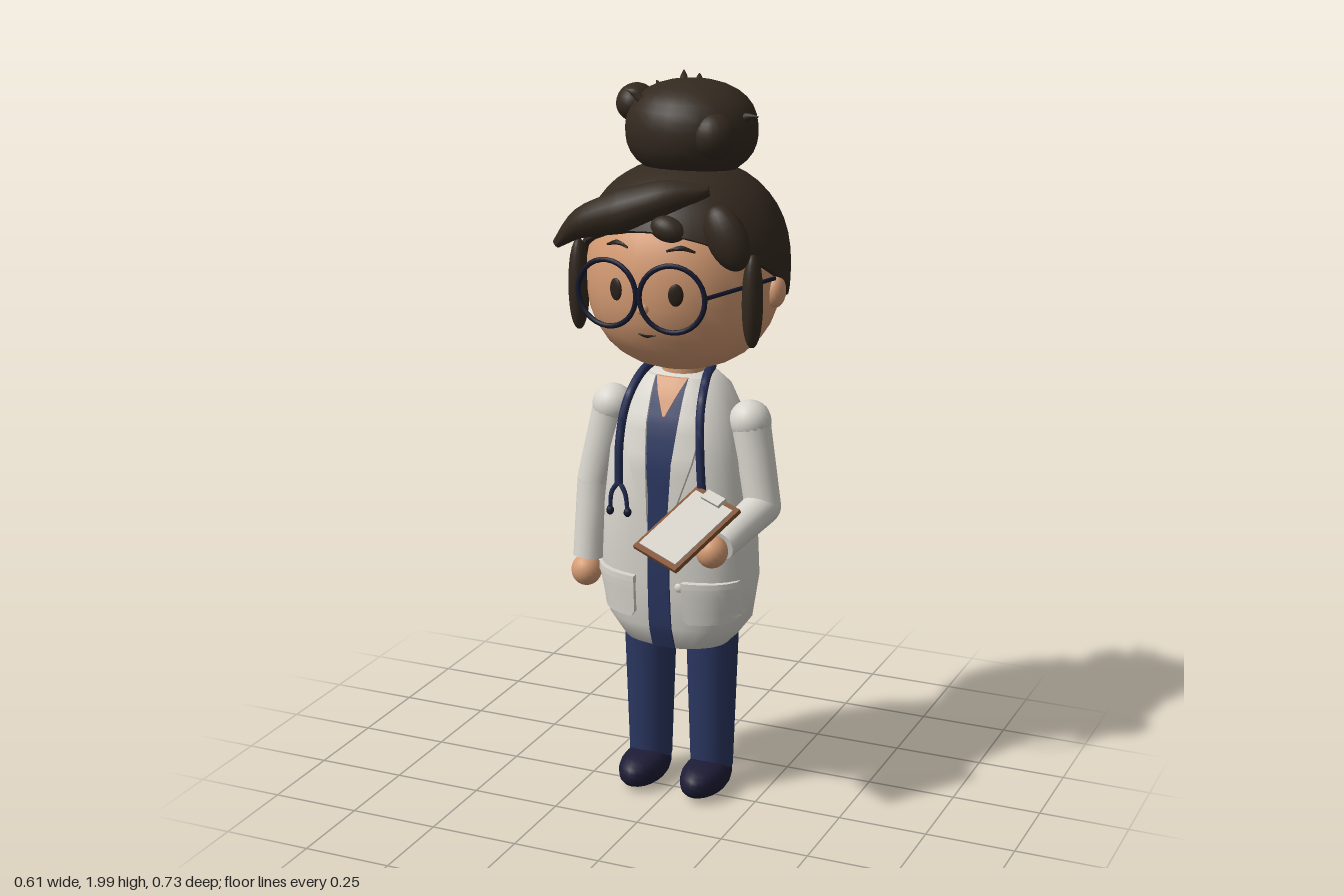
import * as THREE from 'three';
import { toCreasedNormals } from 'three/addons/utils/BufferGeometryUtils.js';

const mat = (name, color) => Object.assign(new THREE.MeshStandardMaterial({ color }), { name });
const V = (x, y, z) => new THREE.Vector3(x, y, z);
const lerp = THREE.MathUtils.lerp;

export function createModel() {
  const skin = mat('skin', 0xd69c74), hair = mat('hair', 0x33291f), coat = mat('coat', 0xd9d6ce);
  const navy = mat('navy cloth', 0x2a3660), shoe = mat('shoe', 0x1d1c36), frame = mat('glasses frame', 0x15182c);
  const wood = mat('clipboard brown', 0x80502f), paper = mat('paper', 0xcfcbc3);
  const tubeMat = mat('stethoscope tube', 0x232c52), dark = mat('eye', 0x2a2019);
  const model = new THREE.Group();
  model.name = 'doctor';

  const add = (name, geo, material, parent = model) => {
    const m = new THREE.Mesh(geo, material);
    m.name = name;
    parent.add(m);
    return m;
  };

  // Rounded blob: p = 2 is an ellipsoid, larger p is boxier from the side
  const blob = (name, m, c, r, p = 2, rot = [0, 0, 0], seg = 20) => {
    const g = new THREE.SphereGeometry(1, seg, Math.round(seg * 0.7));
    const a = g.attributes.position;
    for (let i = 0; i < a.count; i++) {
      const v = V(0, 0, 0).fromBufferAttribute(a, i);
      v.multiplyScalar((Math.abs(v.y) ** p + Math.hypot(v.x, v.z) ** p) ** (-1 / p));
      a.setXYZ(i, v.x * r[0], v.y * r[1], v.z * r[2]);
    }
    g.computeVertexNormals();
    const mesh = add(name, g, m);
    mesh.position.set(...c);
    mesh.rotation.set(...rot);
    return mesh;
  };

  // Closed skin over rings of equal length, capped at both ends, facing outward
  const loft = (rings, crease = 0.7) => {
    const n = rings[0].length, pts = rings.flat(), idx = [];
    for (let i = 0; i < rings.length - 1; i++) {
      for (let j = 0; j < n; j++) {
        const a = i * n + j, b = i * n + (j + 1) % n;
        idx.push(a, b, a + n, b, b + n, a + n);
      }
    }
    for (const [k, flip] of [[0, true], [rings.length - 1, false]]) {
      const c = rings[k].reduce((s, v) => s.add(v), V(0, 0, 0)).divideScalar(n);
      pts.push(c);
      for (let j = 0; j < n; j++) {
        const a = k * n + j, b = k * n + (j + 1) % n;
        idx.push(pts.length - 1, flip ? b : a, flip ? a : b);
      }
    }
    let vol = 0;
    for (let i = 0; i < idx.length; i += 3) {
      vol += pts[idx[i]].dot(V(0, 0, 0).crossVectors(pts[idx[i + 1]], pts[idx[i + 2]]));
    }
    if (vol < 0) idx.reverse();
    const g = new THREE.BufferGeometry().setFromPoints(pts);
    g.setIndex(idx);
    return toCreasedNormals(g, crease);
  };

  // Tapering strand along a curve
  const strand = (name, m, points, radii, steps = 12, sides = 10) => {
    const curve = new THREE.CatmullRomCurve3(points.map(p => V(...p)));
    const f = curve.computeFrenetFrames(steps);
    const rings = [];
    for (let i = 0; i <= steps; i++) {
      const t = i / steps * (radii.length - 1), k = Math.min(Math.floor(t), radii.length - 2);
      const r = lerp(radii[k], radii[k + 1], t - k), c = curve.getPointAt(i / steps);
      rings.push(Array.from({ length: sides }, (_, j) => {
        const a = j / sides * Math.PI * 2;
        return c.clone().addScaledVector(f.normals[i], Math.cos(a) * r).addScaledVector(f.binormals[i], Math.sin(a) * r);
      }));
    }
    return add(name, loft(rings, 1.2), m);
  };

  // Coat body: height, half width, front z, back z
  const rows = [[0.44, 0.1, 0.03, -0.17], [0.46, 0.155, 0.07, -0.185], [0.52, 0.2, 0.09, -0.2], [0.65, 0.222, 0.1, -0.2],
    [0.85, 0.212, 0.1, -0.2], [1, 0.195, 0.093, -0.2], [1.1, 0.17, 0.068, -0.19], [1.18, 0.13, 0.03, -0.17], [1.22, 0.085, 0, -0.14]];
  const N = 2.5, pow = v => Math.sign(v) * Math.abs(v) ** (2 / N);
  add('coat', loft(rows.map(([y, rx, f, b]) => Array.from({ length: 28 }, (_, j) => {
    const a = j / 28 * Math.PI * 2;
    return V(rx * pow(Math.cos(a)), y, (f + b) / 2 + (f - b) / 2 * pow(Math.sin(a)));
  })), 1), coat);
  const coatZ = (x, y) => {
    let k = 0;
    while (k < rows.length - 2 && y > rows[k + 1][0]) k++;
    const t = THREE.MathUtils.clamp((y - rows[k][0]) / (rows[k + 1][0] - rows[k][0]), 0, 1);
    const [, rx, f, b] = rows[k].map((v, i) => lerp(v, rows[k + 1][i], t));
    return (f + b) / 2 + (f - b) / 2 * Math.max(0, 1 - Math.abs(x / rx) ** N) ** (1 / N);
  };

  // Panel lying on the coat front; spans are [y, left x, right x]
  const panel = (name, m, spans, off, depth = 0.02) => {
    const rings = [];
    for (let i = 0; i < spans.length - 1; i++) {
      for (let s = i ? 1 : 0; s <= 5; s++) {
        const [y, l, r] = spans[i].map((v, k) => lerp(v, spans[i + 1][k], s / 5));
        const xs = Array.from({ length: 8 }, (_, j) => lerp(l, r, j / 7));
        const at = d => x => V(x, y, coatZ(x, y) + d);
        rings.push([...xs.map(at(off)), ...xs.reverse().map(at(off - depth))]);
      }
    }
    return add(name, loft(rings), m);
  };
  panel('shirt', navy, [[1.21, -0.06, 0.06], [1.1, -0.05, 0.05], [0.9, -0.03, 0.03], [0.55, -0.032, 0.032], [0.46, -0.03, 0.035]], 0.006);
  panel('neckline', skin, [[1.215, -0.045, 0.045], [1.12, -0.003, 0.003]], 0.01);
  for (const s of [1, -1]) {
    const sides = (y, a, b) => s > 0 ? [y, a, b] : [y, -b, -a];
    panel('lapel', coat, [sides(1.215, 0.048, 0.084), sides(1.1, 0.046, 0.11), sides(1, 0.038, 0.092), sides(0.83, 0.03, 0.036)], 0.014, 0.025);
    panel('pocket', coat, [sides(0.545, 0.085, 0.19), sides(0.56, 0.073, 0.205), sides(0.665, 0.072, 0.205)], 0.014, 0.025);
    panel('pocketHem', coat, [sides(0.645, 0.07, 0.207), sides(0.668, 0.07, 0.207)], 0.018, 0.03);
  }
  for (const y of [0.65, 0.75, 0.84]) blob('button', coat, [0.06, y, coatZ(0.06, y) + 0.004], [0.013, 0.013, 0.008], 2, [0, 0, 0], 10);

  // Legs and shoes
  for (const s of [1, -1]) {
    add('leg', new THREE.CylinderGeometry(0.074, 0.06, 0.42, 16), navy).position.set(s * 0.094, 0.28, -0.056);
    blob('shoe', shoe, [s * 0.094, 0.053, -0.015], [0.064, 0.049, 0.115], 2.5);
  }

  // Arms: right hangs down, left is bent to hold the clipboard
  const arm = (shoulder, elbow, wrist, hand) => {
    blob('shoulder', coat, shoulder, [0.058, 0.058, 0.058]);
    strand('upperSleeve', coat, [shoulder, elbow], [0.055, 0.05], 3, 16);
    blob('elbow', coat, elbow, [0.05, 0.05, 0.05]);
    strand('lowerSleeve', coat, [elbow, wrist], [0.05, 0.043], 3, 16);
    blob('hand', skin, hand, [0.043, 0.045, 0.043]);
  };
  arm([-0.203, 1.1, -0.05], [-0.255, 0.88, -0.04], [-0.264, 0.66, -0.01], [-0.266, 0.622, 0]);
  arm([0.203, 1.1, -0.05], [0.25, 0.87, -0.03], [0.205, 0.815, 0.165], [0.197, 0.808, 0.198]);

  // Clipboard
  const board = new THREE.Group();
  board.name = 'clipboard';
  const u = V(0.155, -0.02, 0.08).normalize(), n = V(0, 0, 0).crossVectors(u, V(0.115, 0.125, -0.175)).normalize();
  board.applyMatrix4(new THREE.Matrix4().makeBasis(u, V(0, 0, 0).crossVectors(n, u), n));
  board.position.set(0.14, 0.874, 0.233);
  model.add(board);
  add('backing', new THREE.BoxGeometry(0.176, 0.244, 0.012), wood, board);
  add('sheet', new THREE.BoxGeometry(0.152, 0.215, 0.006), paper, board).position.z = 0.007;
  add('clip', new THREE.BoxGeometry(0.07, 0.03, 0.014), paper, board).position.set(0, 0.108, 0.012);

  // Neck and stethoscope
  add('neck', new THREE.CylinderGeometry(0.058, 0.062, 0.14, 18), skin).position.set(0, 1.2, -0.07);
  strand('stethoscope', tubeMat, [[-0.115, 0.93, 0.108], [-0.115, 1.05, 0.1], [-0.108, 1.15, 0.068], [-0.092, 1.222, -0.01],
    [-0.07, 1.235, -0.1], [0, 1.235, -0.145], [0.07, 1.235, -0.1], [0.092, 1.222, -0.01], [0.108, 1.15, 0.068],
    [0.12, 1.05, 0.1], [0.13, 0.9, 0.105]], [0.012, 0.012], 60);
  for (const x of [-0.14, -0.088]) {
    strand('earTube', tubeMat, [[-0.114, 0.935, 0.108], [lerp(-0.114, x, 0.75), 0.905, 0.112], [x, 0.855, 0.11]], [0.007, 0.006], 8, 8);
    blob('earTip', frame, [x, 0.85, 0.11], [0.011, 0.013, 0.011], 2, [0, 0, 0], 10);
  }

  // Head and face
  const hc = [0, 1.488, -0.07], hr = [0.262, 0.256, 0.265], P = 2.3;
  blob('head', skin, hc, hr, P, [0, 0, 0], 26);
  const faceZ = (x, y) => {
    const h = (1 - Math.abs((y - hc[1]) / hr[1]) ** P) ** (1 / P);
    return hc[2] + hr[2] * Math.sqrt(h * h - (x / hr[0]) ** 2);
  };
  const onFace = (x, y, d) => [x, y, faceZ(x, y) + d];
  blob('nose', skin, onFace(0, 1.445, 0.004), [0.014, 0.014, 0.022], 2, [0, 0, 0], 12);
  strand('mouth', dark, [[-0.024, 1.373], [0, 1.368], [0.024, 1.373]].map(p => onFace(...p, 0)), [0.002, 0.004, 0.002], 8, 6);
  for (const s of [1, -1]) {
    blob('eye', dark, onFace(s * 0.085, 1.488, 0), [0.02, 0.03, 0.007], 2, [0, s * 0.33, 0]);
    strand('eyebrow', dark, [[s * 0.055, 1.6], [s * 0.09, 1.608], [s * 0.125, 1.597]].map(p => onFace(...p, 0.002)), [0.003, 0.007, 0.003], 8, 6);
    blob('ear', skin, [s * 0.262, 1.46, -0.075], [0.027, 0.045, 0.034]);
    // Glasses
    const ring = add('glassesRim', new THREE.TorusGeometry(0.088, 0.007, 8, 32), frame);
    ring.position.set(s * 0.092, 1.487, 0.222);
    ring.rotation.y = s * 0.12;
    strand('glassesTemple', frame, [[s * 0.18, 1.495, 0.212], [s * 0.268, 1.5, -0.05]], [0.006, 0.006], 2, 8);
    // Locks in front of the ears
    blob('sideLock', hair, [s * 0.25, 1.46, 0.06], [0.027, 0.125, 0.035], 2.2);
  }

  // Hair cap, cut by a plane that is high in front and low behind
  const cap = [];
  for (let i = 0; i <= 12; i++) {
    cap.push(Array.from({ length: 28 }, (_, j) => {
      const a = j / 28 * Math.PI * 2, edge = Math.asin((-0.01 + 0.155 * Math.cos(a)) / 0.29);
      const y = Math.sin(lerp(Math.PI / 2, edge, 0.03 + 0.97 * i / 12)), h = (1 - Math.abs(y) ** P) ** (1 / P);
      return V(0.283 * h * Math.sin(a), 1.5 + 0.29 * y, -0.085 + 0.277 * h * Math.cos(a));
    }));
  }
  add('hairCap', loft(cap, 0.8), hair);

  // Swept fringe
  strand('fringe', hair, [[-0.272, 1.585, 0.15], [-0.2, 1.645, 0.145], [-0.07, 1.69, 0.13], [0.05, 1.73, 0.1], [0.13, 1.745, 0.07]],
    [0.012, 0.045, 0.06, 0.05, 0.015], 18, 14);
  blob('fringeSide', hair, [0.2, 1.635, 0.115], [0.055, 0.09, 0.045], 2, [0, 0, 0.45]);
  blob('fringeTip', hair, [0.045, 1.65, 0.14], [0.05, 0.035, 0.035], 2, [0, 0, -0.3]);

  // Bun with knots and loose tufts
  blob('bun', hair, [0, 1.868, -0.12], [0.18, 0.13, 0.168], 2.3, [0, 0, 0], 24);
  blob('bunKnot', hair, [-0.152, 1.93, -0.1], [0.052, 0.052, 0.065]);
  blob('bunKnot', hair, [-0.125, 1.9, -0.21], [0.05, 0.055, 0.065], 2, [0, -0.5, 0]);
  blob('bunKnot', hair, [0.105, 1.87, -0.02], [0.06, 0.062, 0.055], 2, [0, 0.7, 0]);
  const tufts = [[[-0.13, 1.93, -0.22], [-0.16, 1.965, -0.25]], [[-0.08, 1.95, -0.25], [-0.1, 1.99, -0.3]],
    [[-0.035, 1.95, -0.25], [-0.05, 1.985, -0.29]], [[0.14, 1.9, -0.09], [0.205, 1.918, -0.08]], [[-0.11, 1.95, -0.035], [-0.15, 1.975, -0.03]]];
  for (const [a, b] of tufts) {
    const mid = a.map((v, i) => (v + b[i]) / 2 + (i === 1 ? 0.006 : 0));
    strand('tuft', hair, [a, mid, b], [0.012, 0.011, 0.002], 6, 8);
  }
  return model;
}
